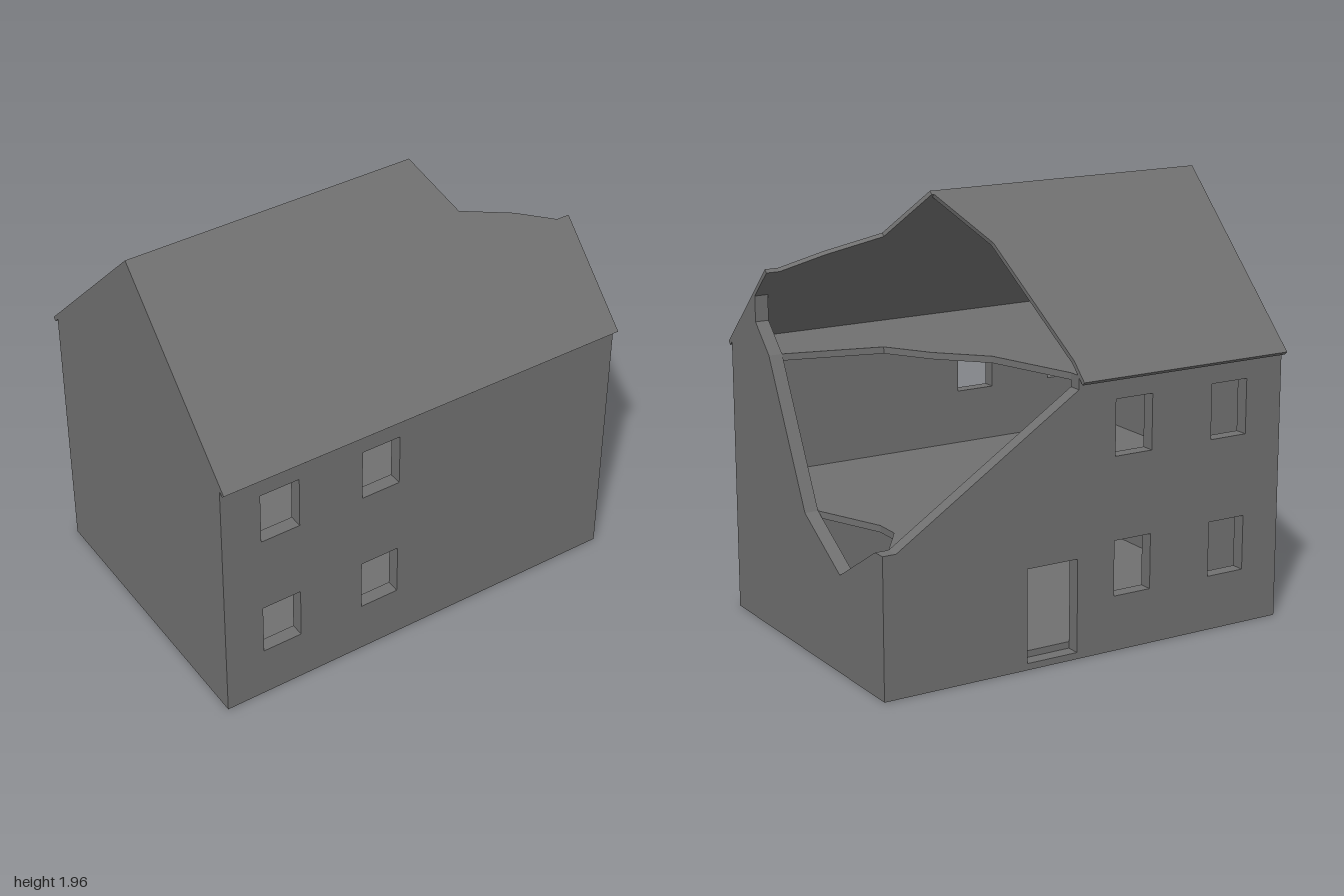
import * as THREE from 'three';

const W = 1, D = 0.6875;        // half width and half depth of the house
const T = 0.0625;               // wall thickness
const EAVE = 1.25, RIDGE = 1.955, ROOF_T = 0.02, SLAB_T = 0.03;

const material = new THREE.MeshStandardMaterial({ color: 0x707070, flatShading: true });

const toShape = (pts) => new THREE.Shape(pts.map(([x, y]) => new THREE.Vector2(x, y)));

function extrude(shape, depth) {
  return new THREE.ExtrudeGeometry(shape, { depth, bevelEnabled: false });
}

function rectHole(x0, y0, x1, y1) {
  return new THREE.Path([[x0, y0], [x0, y1], [x1, y1], [x1, y0]].map(([x, y]) => new THREE.Vector2(x, y)));
}

export function createModel() {
  const house = new THREE.Group();
  house.name = 'ruinedHouse';

  const add = (name, geometry) => {
    const mesh = new THREE.Mesh(geometry, material);
    mesh.name = name;
    house.add(mesh);
  };

  // Long walls: outline in x, y with four window openings and any extra ones
  const longWall = (name, outline, z, openings = []) => {
    const shape = toShape(outline);
    for (const x of [-0.8125, -0.3125]) {
      for (const y of [0.25, 0.875]) shape.holes.push(rectHole(x, y, x + 0.1875, y + 0.25));
    }
    shape.holes.push(...openings);
    add(name, extrude(shape, T).translate(0, 0, z));
  };
  const xi = W - T, zi = D - T;
  longWall('frontWall', [[-xi, 0], [xi, 0], [xi, EAVE], [-xi, EAVE]], zi);
  // Back wall: doorway above a low sill, broken slope at the top
  const doorway = rectHole(0.0625, 0.03, 0.3125, 0.45);
  longWall('backWall', [
    [-xi, 0], [xi, 0], [xi, 0.625], [0.0625, 1.19], [0.0625, EAVE], [-xi, EAVE],
  ], -D, [doorway]);

  // Gable walls: outline in z, y
  const gable = (name, outline, x) => {
    const shape = toShape(outline.map(([z, y]) => [-z, y]));
    add(name, extrude(shape, T).rotateY(Math.PI / 2).translate(x, 0, 0));
  };
  gable('wholeGable', [[-D, 0], [D, 0], [D, EAVE], [0, EAVE + D], [-D, EAVE]], -W);
  gable('brokenGable', [
    [-D, 0], [D, 0], [D, EAVE], [0.4375, 1.5], [0.4375, 1.375], [0.3125, EAVE],
    [0, 0.625], [-0.3125, 0.4375], [-0.625, 0.625], [-D, 0.625],
  ], xi);

  // Floor slabs: outline in x, z
  const slab = (name, outline, top) => {
    add(name, extrude(toShape(outline), SLAB_T).rotateX(Math.PI / 2).translate(0, top, 0));
  };
  slab('groundFloor', [[-xi, -zi], [xi, -zi], [xi, zi], [-xi, zi]], 0.06);
  slab('middleFloor', [
    [-xi, -zi], [xi, -zi], [0.81, -0.44], [0.81, -0.32], [xi, 0], [xi, zi], [-xi, zi],
  ], 0.625);
  slab('atticFloor', [
    [-xi, -zi], [0.0625, -zi], [0.1875, -0.2], [0.375, 0], [0.5, 0.2],
    [0.75, 0.265], [xi, 0.3125], [xi, zi], [-xi, zi],
  ], EAVE);

  // Roof slopes at 45 degrees: outline in x and horizontal distance from the ridge
  const roofSlope = (name, outline, side) => {
    const shape = toShape(outline.map(([x, d]) => [x, d * Math.SQRT2]));
    const geometry = extrude(shape, ROOF_T);
    if (side < 0) geometry.translate(0, 0, -ROOF_T);
    add(name, geometry.rotateX(side * Math.PI * 0.75).translate(0, RIDGE, 0));
  };
  roofSlope('frontRoof', [
    [-W, 0], [0.375, 0], [0.5, 0.2], [0.75, 0.265], [0.9375, 0.33], [W, 0.33], [W, 0.721], [-W, 0.721],
  ], 1);
  // The back slope butts against the upper edge of the front one
  const butt = ROOF_T * Math.SQRT1_2;
  roofSlope('backRoof', [
    [-W, butt], [0.363, butt], [0.1875, 0.21], [0.0625, 0.65], [0.0625, 0.727], [-W, 0.727],
  ], -1);

  return house;
}
